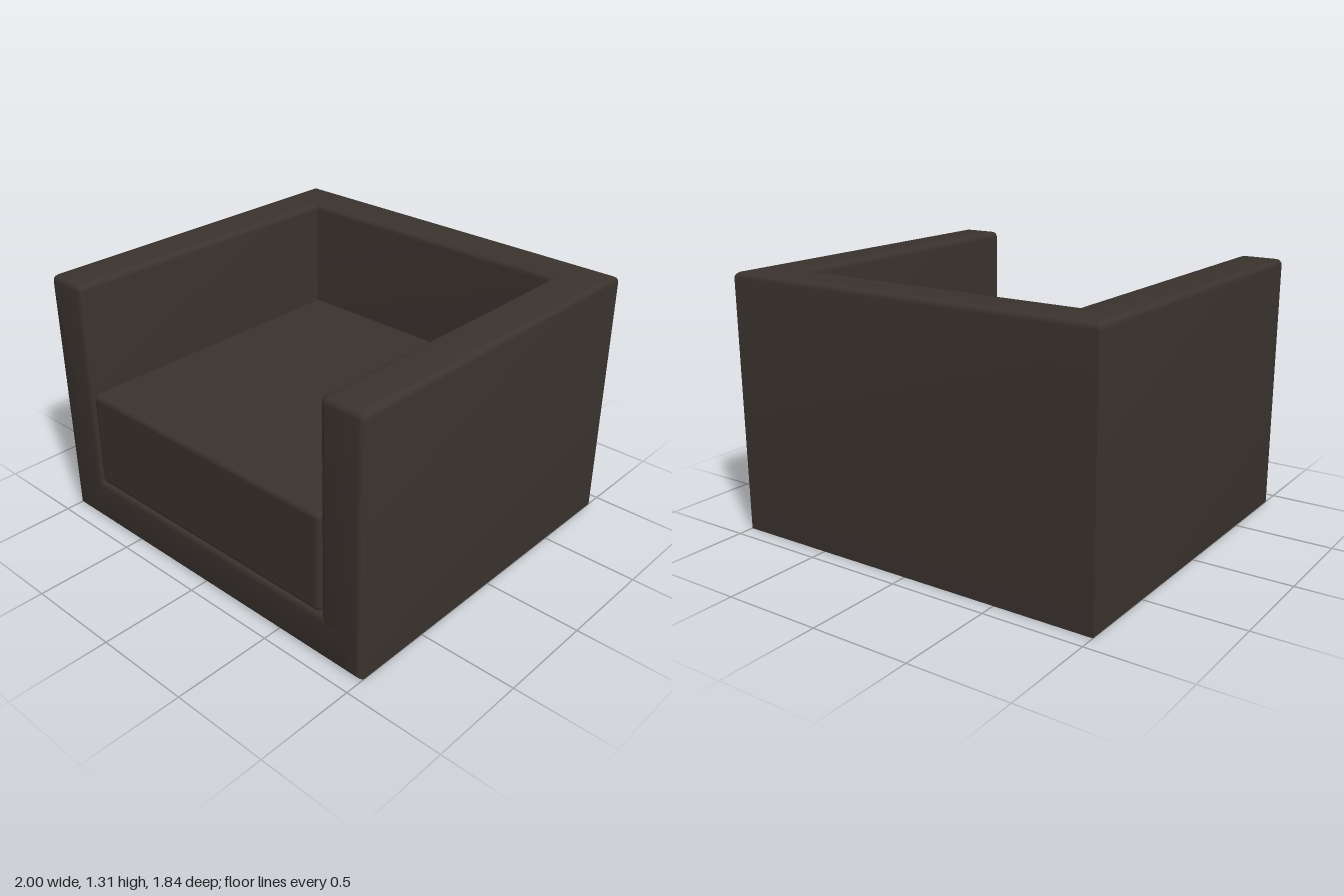
import * as THREE from 'three';
import { toCreasedNormals } from 'three/addons/utils/BufferGeometryUtils.js';
import { RoundedBoxGeometry } from 'three/addons/geometries/RoundedBoxGeometry.js';

const W = 1;          // half width
const D = 0.918;      // half depth
const H = 1.31;       // height
const T = 0.23;       // wall thickness
const BASE = 0.235;   // base height
const R = 0.03;       // edge rounding
const SEG = 4;

// Wall cross-section as [distance inward, height], rounded at the top, shrunk by inset
function wallSection(inset) {
  const r = Math.max(R - inset, 0.002);
  const points = [[inset, inset]];
  for (const inner of [false, true]) {
    for (let i = 0; i <= SEG; i++) {
      const a = (i / SEG) * Math.PI / 2;
      const s = inner ? Math.sin(a) : -Math.cos(a);
      const c = inner ? Math.cos(a) : Math.sin(a);
      const centre = inner ? T - inset - r : inset + r;
      points.push([centre + s * r, H - inset - r + c * r]);
    }
  }
  points.push([T - inset, inset]);
  return points;
}

// Arms and back: one wall swept around three sides with mitred back corners
function wallGeometry() {
  const rings = [];
  const armRing = (side, k) => {
    const a = (k / SEG) * Math.PI / 2;
    const z = D - R + R * Math.sin(a);
    return wallSection(R * (1 - Math.cos(a))).map(([t, y]) => [side * (W - t), y, z]);
  };
  const cornerRing = (side) => wallSection(0).map(([t, y]) => [side * (W - t), y, -D + t]);
  for (let k = SEG; k >= 0; k--) rings.push(armRing(-1, k));
  rings.push(cornerRing(-1), cornerRing(1));
  for (let k = 0; k <= SEG; k++) rings.push(armRing(1, k));

  const n = rings[0].length;
  const positions = rings.flat(2);
  const index = [];
  for (let i = 0; i < rings.length - 1; i++) {
    for (let j = 0; j < n; j++) {
      const a = i * n + j, b = i * n + (j + 1) % n;
      index.push(a, b, a + n, b, b + n, a + n);
    }
  }
  // Flat front ends of the arms
  const last = (rings.length - 1) * n;
  const centre = rings.length * n;
  positions.push(-W + T / 2, H / 2, D, W - T / 2, H / 2, D);
  for (let j = 0; j < n; j++) {
    const k = (j + 1) % n;
    index.push(centre, k, j, centre + 1, last + j, last + k);
  }
  const geometry = new THREE.BufferGeometry();
  geometry.setAttribute('position', new THREE.Float32BufferAttribute(positions, 3));
  geometry.setIndex(index);
  return toCreasedNormals(geometry, 0.6);
}

// Base: side profile with rounded front edges, extruded across the width
function baseGeometry() {
  const back = -D + T - 0.02;
  const shape = new THREE.Shape();
  shape.moveTo(back, 0);
  shape.lineTo(D - R, 0);
  shape.absarc(D - R, R, R, -Math.PI / 2, 0);
  shape.absarc(D - R, BASE - R, R, 0, Math.PI / 2);
  shape.lineTo(back, BASE);
  const width = 2 * (W - R);
  const geometry = new THREE.ExtrudeGeometry(shape, { depth: width, bevelEnabled: false, curveSegments: SEG });
  geometry.translate(0, 0, -width / 2);
  geometry.rotateY(-Math.PI / 2);
  return toCreasedNormals(geometry, 0.6);
}

export function createModel() {
  const group = new THREE.Group();
  group.name = 'armchair';
  const material = new THREE.MeshStandardMaterial({ color: 0x3a332e });
  const add = (name, geometry) => {
    const mesh = new THREE.Mesh(geometry, material);
    mesh.name = name;
    group.add(mesh);
    return mesh;
  };

  add('armsAndBack', wallGeometry());
  add('base', baseGeometry());

  // Seat cushion fills the space between the arms
  const gap = 0.005;
  const top = 0.75;
  const depth = 2 * D - T - gap;
  const cushion = add('seatCushion',
    new RoundedBoxGeometry(2 * (W - T - gap), top - BASE, depth, SEG, R));
  cushion.position.set(0, (top + BASE) / 2, D - depth / 2);

  return group;
}
